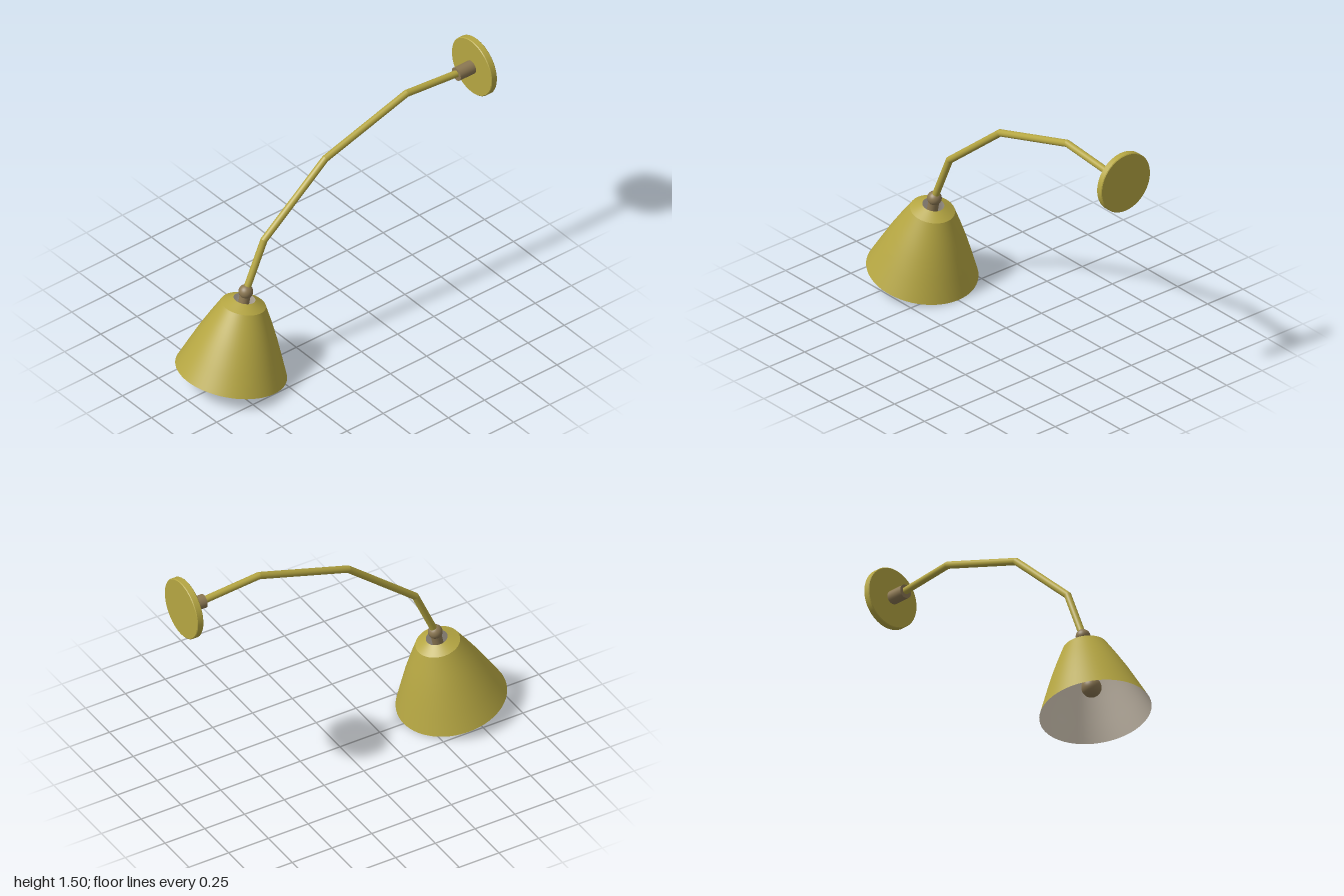
import * as THREE from 'three';

const mat = (name, color, side = THREE.FrontSide) => {
  const m = new THREE.MeshStandardMaterial({ color, side });
  m.name = name;
  return m;
};

export function createModel() {
  const brass = mat('brass', 0xb5a642);
  const bronze = mat('bronze', 0x8c7853);
  const lining = mat('lining', 0xdcd0be, THREE.BackSide);
  const root = new THREE.Group();
  root.name = 'wallLamp';

  const add = (parent, name, geometry, material) => {
    const mesh = new THREE.Mesh(geometry, material);
    mesh.name = name;
    parent.add(mesh);
    return mesh;
  };
  const lathe = (pts) => new THREE.LatheGeometry(pts.map(([x, y]) => new THREE.Vector2(x, y)), 64);
  // straight-sided cone bands keep the edges between them crisp
  const bands = (parent, name, pts, material) => {
    for (let i = 0; i < pts.length - 1; i++) add(parent, name, lathe([pts[i], pts[i + 1]]), material);
  };

  // wall plate and collar, axis along z
  const mount = new THREE.Group();
  mount.name = 'wallMount';
  mount.position.set(0, 1.33, -1);
  mount.rotation.x = Math.PI / 2;
  root.add(mount);
  bands(mount, 'wallPlate', [[0, 0], [0.169, 0], [0.173, 0.004], [0.173, 0.036], [0.169, 0.04], [0, 0.04]], brass);
  add(mount, 'collar', new THREE.CylinderGeometry(0.039, 0.039, 0.11, 32), bronze).position.y = 0.09;

  // bent arm: straight rods mitred where they meet
  const P = [[1.33, -0.9], [1.365, -0.51], [1.19, 0.05], [0.84, 0.473], [0.55, 0.6]]
    .map(([y, z]) => new THREE.Vector3(0, y, z));
  const dirs = P.slice(1).map((p, i) => p.clone().sub(P[i]).normalize());
  const up = new THREE.Vector3(0, 1, 0);
  dirs.forEach((d, i) => {
    const g = new THREE.CylinderGeometry(0.02, 0.02, 1, 24, 1, true);
    const turn = new THREE.Quaternion().setFromUnitVectors(up, d);
    const pos = g.attributes.position;
    const v = new THREE.Vector3();
    for (let k = 0; k < pos.count; k++) {
      const end = pos.getY(k) > 0 ? i + 1 : i;
      const plane = d.clone().add(dirs[end === i ? i - 1 : i + 1] ?? d).normalize();
      v.set(pos.getX(k), 0, pos.getZ(k)).applyQuaternion(turn);
      v.addScaledVector(d, -v.dot(plane) / d.dot(plane)).add(P[end]);
      pos.setXYZ(k, v.x, v.y, v.z);
    }
    g.attributes.normal.applyMatrix4(new THREE.Matrix4().makeRotationFromQuaternion(turn));
    add(root, 'armRod', g, brass);
  });

  // tilted head, measured upward from the centre of the shade mouth
  const head = new THREE.Group();
  head.name = 'lampHead';
  head.position.set(0, 0.067, 0.7);
  head.rotation.x = -0.206;
  root.add(head);
  add(head, 'balljoint', new THREE.SphereGeometry(0.04, 32, 24), bronze).position.y = 0.495;

  // shade with an open top, coloured outside and pale inside
  const side = [[0.306, 0], [0.262, 0.11], [0.217, 0.22], [0.171, 0.32], [0.123, 0.417]];
  const cap = [[0.123, 0.417], [0.06, 0.45]];
  const inset = (pts) => pts.map(([x, y]) => [x - 0.003, y - 0.002]);
  add(head, 'shade', lathe(side), brass);
  add(head, 'shadeTop', lathe(cap), brass);
  add(head, 'shadeLining', lathe([[0.306, 0], ...inset(side.slice(1))]), lining);
  add(head, 'shadeTopLining', lathe([...inset(cap.slice(0, 1)), cap[1]]), lining);

  // stem and bulb inside the shade
  add(head, 'socketStem', new THREE.CylinderGeometry(0.03, 0.03, 0.3, 24), bronze).position.y = 0.335;
  add(head, 'bulb', new THREE.SphereGeometry(0.055, 32, 24), bronze).position.y = 0.16;

  return root;
}
